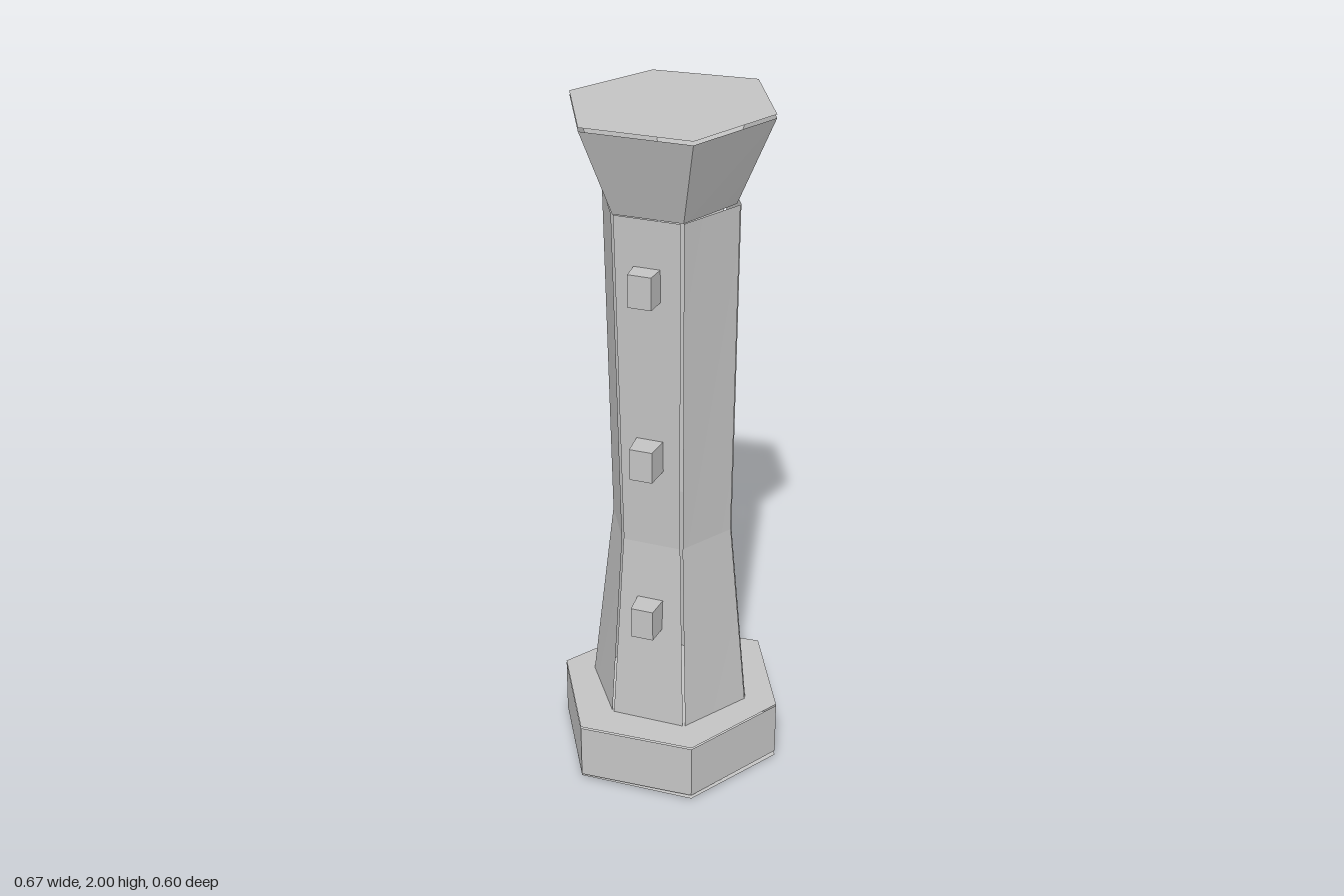
import * as THREE from 'three';

const stone = new THREE.MeshStandardMaterial({ color: 0xc4c4c4, side: THREE.DoubleSide });
stone.name = 'light grey stone';

// Slightly uneven hexagons as [x, z], starting at the left corner and turning towards the front
const footHex = [[0.335, 0], [0.17, 0.287], [-0.167, 0.3], [-0.336, 0], [-0.157, -0.278], [0.183, -0.303]];
const shaftLow = [[0.24, 0], [0.115, 0.196], [-0.108, 0.196], [-0.244, 0], [-0.115, -0.198], [0.117, -0.203]];
const shaftMid = [[0.188, 0], [0.092, 0.158], [-0.086, 0.156], [-0.174, 0], [-0.085, -0.15], [0.087, -0.155]];
const shaftTop = [[0.2, 0], [0.102, 0.186], [-0.094, 0.184], [-0.193, 0], [-0.095, -0.174], [0.1, -0.18]];
const capLow = [[0.187, 0], [0.103, 0.18], [-0.093, 0.18], [-0.18, 0], [-0.09, -0.167], [0.1, -0.177]];
const capTop = [[0.29, 0], [0.158, 0.267], [-0.147, 0.267], [-0.28, 0], [-0.137, -0.243], [0.158, -0.261]];

function mesh(name, positions, index) {
  const geometry = new THREE.BufferGeometry();
  geometry.setAttribute('position', new THREE.Float32BufferAttribute(positions, 3));
  geometry.setIndex(index);
  geometry.computeVertexNormals();
  const m = new THREE.Mesh(geometry, stone);
  m.name = name;
  return m;
}

// Six sheet panels between two hexagons, each pulled back from the corners by a gap
function panels(name, low, y0, high, y1, gap) {
  const positions = [], index = [];
  const corner = (hex, y, from, to) => {
    const [ax, az] = hex[from], [bx, bz] = hex[to];
    const t = gap / Math.hypot(bx - ax, bz - az);
    return [ax + (bx - ax) * t, y, az + (bz - az) * t];
  };
  for (let i = 0; i < 6; i++) {
    const j = (i + 1) % 6, k = i * 4;
    positions.push(...corner(low, y0, j, i), ...corner(low, y0, i, j));
    positions.push(...corner(high, y1, i, j), ...corner(high, y1, j, i));
    index.push(k, k + 1, k + 2, k, k + 2, k + 3);
  }
  return mesh(name, positions, index);
}

// Flat hexagonal sheet facing up or down; tilt lowers its +x side
function sheet(name, hex, y, up, tilt = 0) {
  const index = [];
  for (let i = 1; i < 5; i++) index.push(0, ...(up ? [i + 1, i] : [i, i + 1]));
  return mesh(name, hex.flatMap(([x, z]) => [x, y - x * tilt, z]), index);
}

// Small block whose front face is slightly narrower than its back
function blockGeometry() {
  const geometry = new THREE.BoxGeometry(0.078, 0.093, 0.08);
  const p = geometry.attributes.position;
  for (let i = 0; i < p.count; i++) {
    if (p.getZ(i) > 0) p.setX(i, p.getX(i) * 0.84);
  }
  geometry.computeVertexNormals();
  return geometry;
}

export function createModel() {
  const tower = new THREE.Group();
  tower.name = 'tower';

  // Foot
  tower.add(
    sheet('footBottom', footHex, 0.007, false, 0.02),
    panels('footSides', footHex, 0.015, footHex, 0.18, 0),
    sheet('footTop', footHex, 0.185, true),
  );

  // Waisted shaft with open seams
  tower.add(
    panels('lowerShaft', shaftLow, 0.18, shaftMid, 0.76, 0.004),
    panels('upperShaft', shaftMid, 0.76, shaftTop, 1.745, 0.005),
  );

  // Flared head and roof
  tower.add(
    panels('head', capLow, 1.745, capTop, 1.99, 0),
    sheet('roof', capTop, 2, true),
  );

  // Window blocks up the front
  const block = blockGeometry();
  for (const y of [0.54, 1.05, 1.562]) {
    const windowBlock = new THREE.Mesh(block, stone);
    windowBlock.name = 'windowBlock';
    windowBlock.position.set(0.002, y, 0.198);
    tower.add(windowBlock);
  }
  return tower;
}
